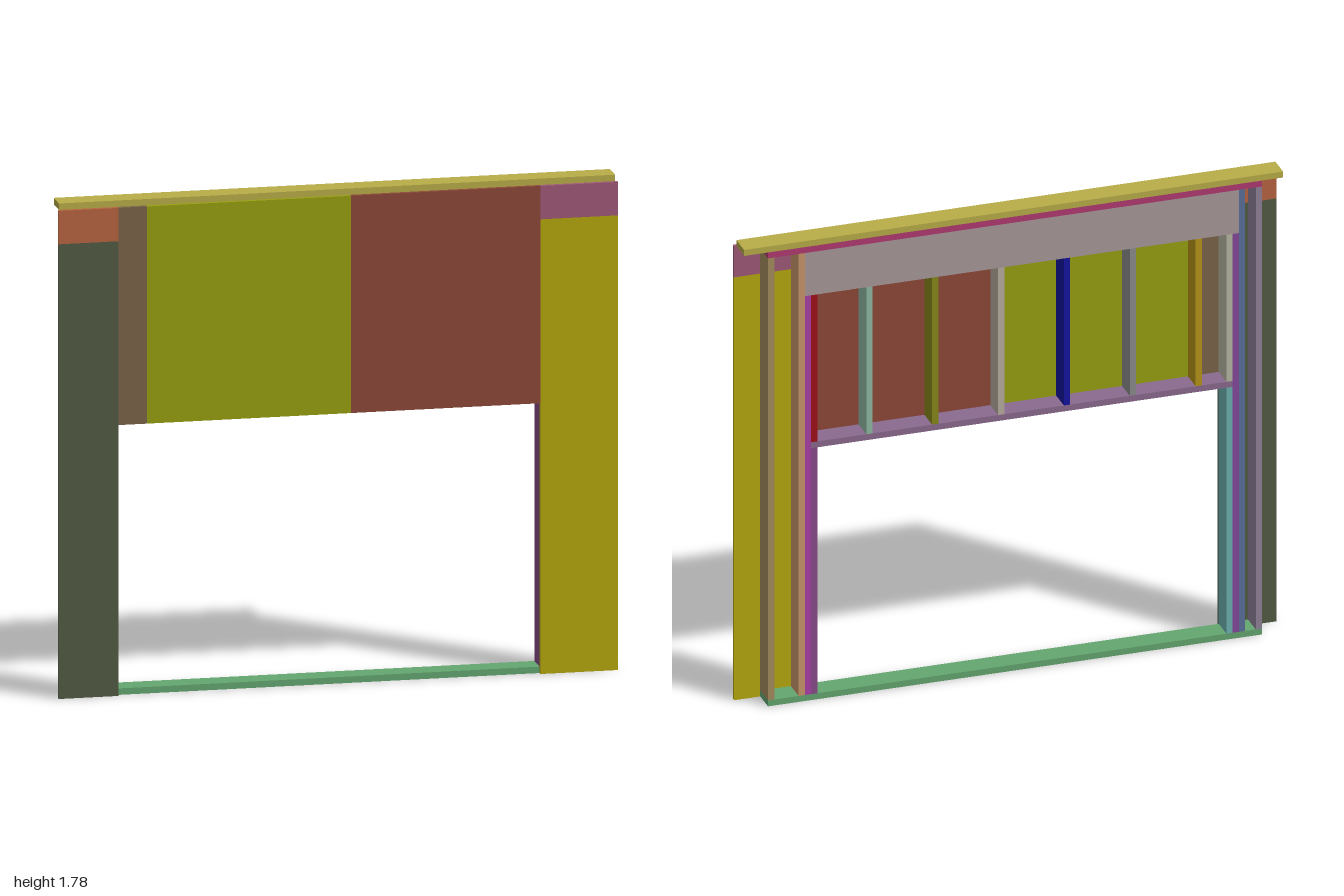
import * as THREE from 'three';

const T = 0.023;                 // lumber thickness
const BACK = -0.05, FACE = 0.035, FRONT = 0.05;
const TOP = 1.78, PLATE = TOP - 2 * T;   // PLATE: underside of the top plates
const HEADER = 1.567, SILL = 0.975;      // undersides of header and sill

export function createModel() {
  const wall = new THREE.Group();
  wall.name = 'framedWall';

  // Box given by its limits on each axis
  const board = (name, color, x0, x1, y0, y1, z0 = BACK, z1 = FACE) => {
    const mesh = new THREE.Mesh(
      new THREE.BoxGeometry(x1 - x0, y1 - y0, z1 - z0),
      new THREE.MeshStandardMaterial({ color }));
    mesh.position.set((x0 + x1) / 2, (y0 + y1) / 2, (z0 + z1) / 2);
    mesh.name = name;
    wall.add(mesh);
  };
  const stud = (name, color, x, y0, y1) => board(name, color, x, x + T, y0, y1);
  const panel = (name, color, x0, x1, y0, y1) => board(name, color, x0, x1, y0, y1, FACE, FRONT);

  // Plates
  board('bottomPlate', 0x64a670, -0.918, 0.904, 0, T);
  board('lowerTopPlate', 0xb03a70, -0.918, 0.904, PLATE, PLATE + T);
  board('upperTopPlate', 0xb8ad48, -0.996, 0.992, PLATE + T, TOP);

  // Full-height studs
  stud('leftEndStud', 0xa58c5c, 0.881, T, PLATE);
  stud('leftKingStud', 0xc8966a, 0.768, T, PLATE);
  stud('rightKingStud', 0x5a6f9a, -0.856, T, PLATE);
  stud('rightEndStud', 0x8f8098, -0.918, T, PLATE);

  // Studs carrying the header, and trimmers carrying the sill
  stud('leftJackStud', 0xa840a8, 0.745, T, HEADER);
  stud('rightJackStud', 0x84489c, -0.833, T, HEADER);
  stud('leftTrimmer', 0x8a4a8a, 0.722, T, SILL);
  stud('rightTrimmer', 0x6cb0b0, -0.81, T, SILL);

  // Header and sill
  board('header', 0xa89898, -0.833, 0.768, HEADER, PLATE);
  board('sill', 0x8a6a8e, -0.81, 0.745, SILL, SILL + T);

  // Short studs between sill and header
  stud('crippleStud', 0xa01018, 0.722, SILL + T, HEADER);
  stud('crippleStud', 0xb8b8a4, -0.81, SILL + T, HEADER);
  [0x90b8a4, 0x88881a, 0xb8aca0, 0x1414a0, 0x8c8c8c, 0xb89418].forEach((color, i) =>
    stud('crippleStud', color, 0.53 - 0.243 * i - T / 2, SILL + T, HEADER));

  // Sheathing on the front
  const sheetTop = PLATE + T, seam = 1.637;
  panel('rightSheathing', 0x525c44, -1, -0.787, 0, seam);
  panel('rightCornerSheathing', 0xb86440, -1, -0.787, seam, sheetTop);
  panel('leftSheathing', 0xb4a80e, 0.722, 1, 0, seam);
  panel('leftCornerSheathing', 0xa05878, 0.722, 1, seam, sheetTop);
  panel('upperSheathingStrip', 0x7c6448, -0.787, -0.685, SILL, sheetTop);
  panel('upperSheathingMiddle', 0x98a010, -0.685, 0.044, SILL, sheetTop);
  panel('upperSheathingLeft', 0x8e4838, 0.044, 0.722, SILL, sheetTop);

  return wall;
}
